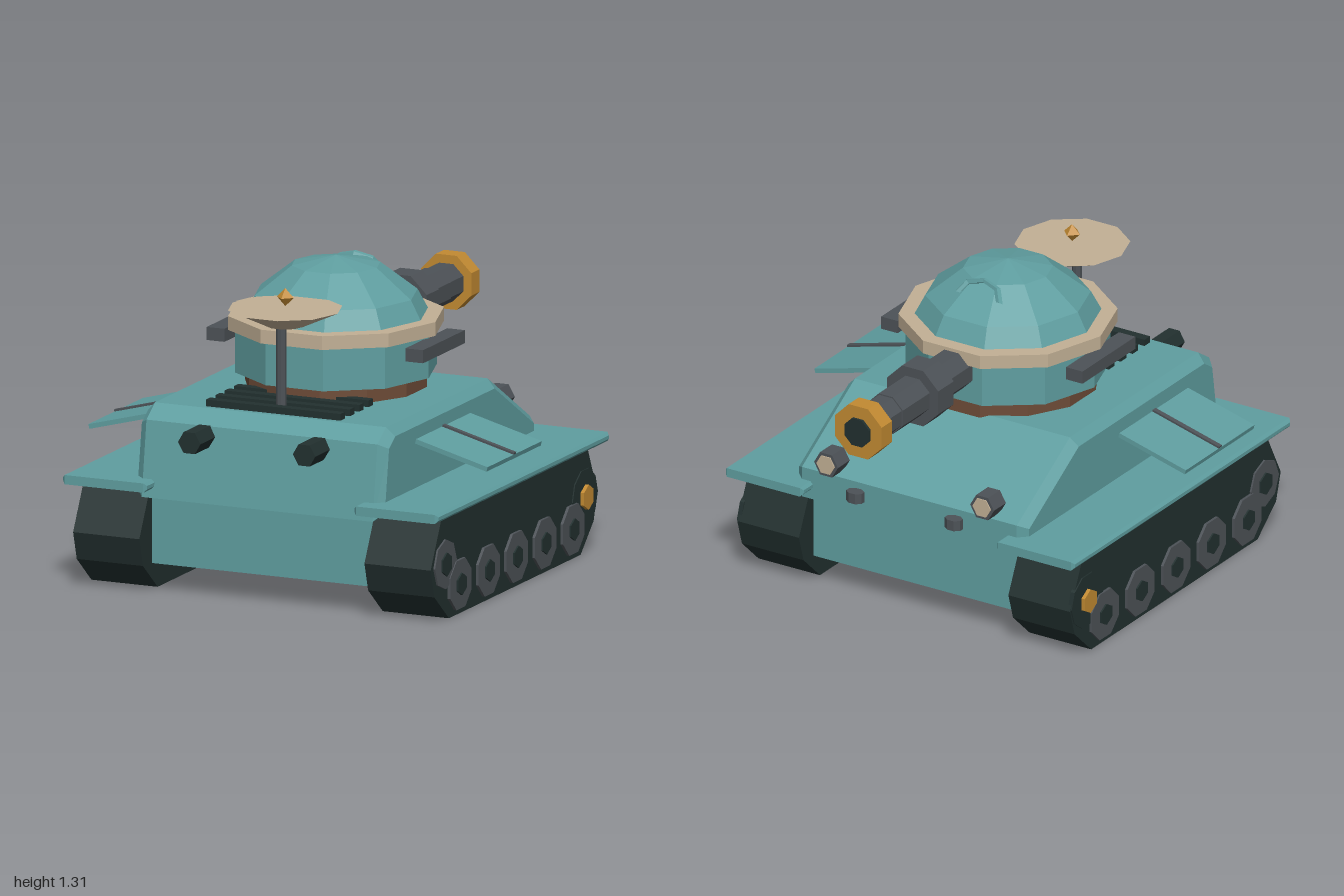
import * as THREE from 'three';

const mat = (name, color) => {
  const m = new THREE.MeshStandardMaterial({ color });
  m.name = name;
  return m;
};

export function createModel() {
  const teal = mat('teal paint', 0x5f9ea0);
  const dark = mat('dark rubber', 0x22302f);
  const grey = mat('gunmetal', 0x4d5257);
  const tan = mat('tan trim', 0xc2b095);
  const gold = mat('brass', 0xc28a32);
  const brown = mat('brown ring', 0x6e4c38);
  const model = new THREE.Group();

  // Faceted normals for every part
  const flat = (g) => {
    const f = g.index ? g.toNonIndexed() : g;
    f.computeVertexNormals();
    return f;
  };
  const add = (name, geo, material, x = 0, y = 0, z = 0) => {
    const m = new THREE.Mesh(flat(geo), material);
    m.name = name;
    m.position.set(x, y, z);
    model.add(m);
    return m;
  };
  const box = (w, h, d) => new THREE.BoxGeometry(w, h, d);
  // Prism along an axis; turn = rotation of its corners
  const prism = (axis, rTop, rBottom, len, sides, turn = 0) => {
    const g = new THREE.CylinderGeometry(rTop, rBottom, len, sides).rotateY(turn);
    if (axis === 'z') g.rotateX(Math.PI / 2);
    if (axis === 'x') g.rotateZ(-Math.PI / 2);
    return g;
  };
  // Side profile of [z, y] points extruded across x and centred
  const slab = (pts, width, bevel = 0) => {
    const shape = new THREE.Shape(pts.map(([z, y]) => new THREE.Vector2(z, y)));
    const g = new THREE.ExtrudeGeometry(shape, {
      depth: width - 2 * bevel, bevelEnabled: bevel > 0,
      bevelSize: bevel, bevelThickness: bevel, bevelSegments: 1,
    });
    return g.translate(0, 0, bevel - width / 2).rotateY(-Math.PI / 2);
  };

  // Hull
  add('lowerHull', box(1, 0.3, 1.4), teal, 0, 0.27, 0.15);
  add('upperHull', slab([[0.86, 0.44], [0.82, 0.7], [0.76, 0.74], [-0.19, 0.74],
    [-0.565, 0.515], [-0.565, 0.44]], 1.12, 0.037), teal);
  for (let i = 0; i < 4; i++) {
    add('engineSlat', box(0.61, 0.04, 0.042), dark, 0, 0.785, 0.455 + i * 0.09);
  }

  const trackProfile = [[0.775, 0.003], [0.915, 0.12], [0.95, 0.24], [0.85, 0.43],
    [-0.555, 0.43], [-0.645, 0.235], [-0.61, 0.12], [-0.485, 0.003]];
  const fenderProfile = [[0.96, 0.455], [0.96, 0.47], [-0.67, 0.47], [-0.67, 0.455]];

  for (const s of [-1, 1]) {
    // Running gear
    add('track', slab(trackProfile, 0.3), dark, s * 0.66);
    add('fender', slab(fenderProfile, 0.38, 0.012), teal, s * 0.66);
    for (let i = 0; i < 5; i++) {
      const z = 0.685 - i * 0.27;
      add('roadWheel', prism('x', 0.111, 0.111, 0.03, 8, Math.PI / 8), grey, s * 0.807, 0.13, z);
      add('wheelHub', prism('x', 0.047, 0.047, 0.03, 6, Math.PI / 2), dark, s * 0.814, 0.13, z);
    }
    add('idlerWheel', prism('x', 0.105, 0.105, 0.02, 8), grey, s * 0.808, 0.24, 0.82);
    add('idlerHub', prism('x', 0.05, 0.05, 0.03, 6, Math.PI / 2), dark, s * 0.81, 0.24, 0.82);
    add('sprocket', prism('x', 0.12, 0.12, 0.02, 10), dark, s * 0.805, 0.24, -0.52);
    add('sprocketHub', prism('x', 0.053, 0.053, 0.04, 6, Math.PI / 2), gold, s * 0.811, 0.24, -0.52);

    // Hinged side flap with its strap and bracket
    const tilt = -s * 0.26;
    add('sideFlap', box(0.335, 0.02, 0.52), teal, s * 0.74, 0.645, 0.345).rotation.z = tilt;
    add('flapStrap', box(0.335, 0.02, 0.022), grey, s * 0.742, 0.653, 0.345).rotation.z = tilt;
    add('flapBracket', box(0.1, 0.05, 0.08), grey, s * 0.59, 0.64, 0.345).rotation.z = tilt;

    // Exhausts at the rear; lamps and tow lugs at the gun end
    add('exhaust', prism('z', 0.051, 0.051, 0.16, 6, Math.PI / 2), dark, s * 0.26, 0.68, 0.92);
    add('headlamp', prism('z', 0.058, 0.058, 0.09, 6, Math.PI / 2), grey, s * 0.38, 0.597, -0.597);
    add('lampLens', prism('z', 0.044, 0.044, 0.008, 6, Math.PI / 2), tan, s * 0.38, 0.597, -0.643);
    add('towLug', new THREE.CylinderGeometry(0.035, 0.035, 0.045, 8)
      .rotateY(Math.PI / 8).scale(1.15, 1, 0.85), grey, s * 0.24, 0.49, -0.638);

    // Turret side rail
    add('turretRail', box(0.08, 0.055, 0.4), grey, s * 0.45, 0.98, 0.147);
  }

  // Turret
  const tz = 0.145, tenth = Math.PI / 10;
  add('turretRing', prism('y', 0.378, 0.378, 0.09, 12, Math.PI / 12), brown, 0, 0.805, tz);
  add('turretBody', prism('y', 0.42, 0.42, 0.19, 10, tenth), teal, 0, 0.935, tz);
  add('turretCollar', prism('y', 0.45, 0.45, 0.058, 10, tenth), tan, 0, 1.05, tz);
  const dome = [[0.388, 1.07], [0.34, 1.16], [0.185, 1.28], [0, 1.318]];
  add('turretDome', new THREE.LatheGeometry(dome.map(([r, y]) => new THREE.Vector2(r, y)), 10)
    .rotateY(tenth), teal, 0, 0, tz);
  add('domeHandle', new THREE.TorusGeometry(0.1, 0.016, 5, 4, Math.PI)
    .scale(1, 0.75, 1), teal, 0, 1.225, -0.075).rotation.x = 0.62;

  // Gun, pieces along -z: name, radius, start, end, colour
  const gun = [
    ['barrelBase', 0.092, -0.2, -0.47, grey],
    ['barrelSleeve', 0.135, -0.46, -0.577, grey],
    ['barrelMiddle', 0.09, -0.57, -0.78, grey],
    ['barrelEnd', 0.084, -0.77, -0.92, grey],
    ['muzzle', 0.123, -0.91, -0.988, gold],
    ['bore', 0.065, -0.95, -1, dark],
  ];
  for (const [name, r, z0, z1, m] of gun) {
    add(name, prism('z', r, r, z0 - z1, 8, Math.PI / 8), m, 0, 0.98, (z0 + z1) / 2);
  }

  // Dish antenna
  add('dishMast', prism('y', 0.021, 0.021, 0.36, 8, Math.PI / 8), grey, 0, 0.95, 0.668);
  add('dish', prism('y', 0.238, 0.08, 0.072, 10, tenth), tan, 0, 1.16, 0.632);
  add('dishFeed', new THREE.OctahedronGeometry(0.038), gold, 0, 1.242, 0.63);

  return model;
}
